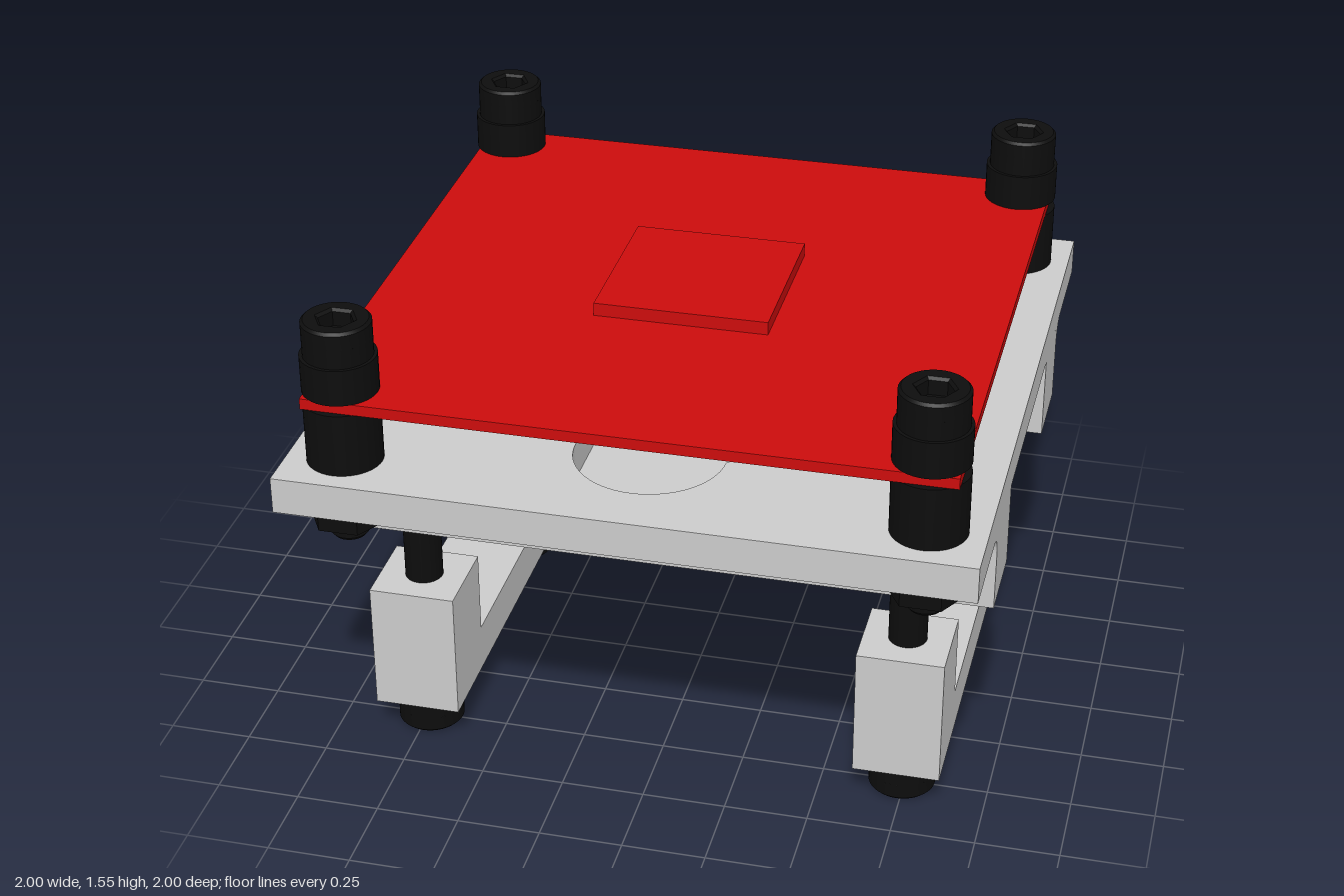
import * as THREE from 'three';
import { toCreasedNormals } from 'three/addons/utils/BufferGeometryUtils.js';

const grey = new THREE.MeshStandardMaterial({ color: 0xcccccc });
const red = new THREE.MeshStandardMaterial({ color: 0xcc0c0c });
const black = new THREE.MeshStandardMaterial({ color: 0x0d0d0d });

const BOLT_X = 0.74, BOLT_Z = 0.5, CORNER = 0.835;

function add(parent, name, geometry, material, x = 0, y = 0, z = 0) {
  const mesh = new THREE.Mesh(geometry, material);
  mesh.name = name;
  mesh.position.set(x, y, z);
  parent.add(mesh);
  return mesh;
}

// Box between two heights
function slab(parent, name, w, d, y0, y1, material) {
  return add(parent, name, new THREE.BoxGeometry(w, y1 - y0, d), material, 0, (y0 + y1) / 2, 0);
}

// Upright cylinder between two heights
function rod(parent, name, r, y0, y1, sides = 40) {
  return add(parent, name, new THREE.CylinderGeometry(r, r, y1 - y0, sides), black, 0, (y0 + y1) / 2, 0);
}

// Outline in x/z pulled up along y
function extrudeUp(shape, height) {
  const g = new THREE.ExtrudeGeometry(shape, { depth: height, bevelEnabled: false, curveSegments: 20 });
  g.rotateX(-Math.PI / 2);
  return toCreasedNormals(g, 0.6);
}

// Profile in z/y pulled along x, centred
function extrudeAcross(shape, width) {
  const g = new THREE.ExtrudeGeometry(shape, { depth: width, bevelEnabled: false, curveSegments: 14 });
  g.translate(0, 0, -width / 2);
  g.rotateY(Math.PI / 2);
  return toCreasedNormals(g, 0.6);
}

function rectangle(x0, z0, x1, z1) {
  return new THREE.Shape([[x0, z0], [x1, z0], [x1, z1], [x0, z1]].map(p => new THREE.Vector2(...p)));
}

function circle(x, z, r) {
  const p = new THREE.Path();
  p.absarc(x, z, r, 0, Math.PI * 2, true);
  return p;
}

// Round head with a hexagonal socket opening upward
function socketHead(parent, height) {
  const r = 0.1, bevel = 0.008, depth = 0.06;
  const ring = new THREE.Shape();
  ring.absarc(0, 0, r - bevel, 0, Math.PI * 2);
  const hex = [];
  for (let i = 0; i < 6; i++) hex.push(new THREE.Vector2(0.062 * Math.cos(-i * Math.PI / 3), 0.062 * Math.sin(-i * Math.PI / 3)));
  ring.holes.push(new THREE.Path(hex));
  const g = new THREE.ExtrudeGeometry(ring, {
    depth: depth - 2 * bevel, bevelSize: bevel, bevelThickness: bevel, bevelSegments: 1, curveSegments: 20,
  });
  g.rotateX(-Math.PI / 2);
  const head = new THREE.Group();
  head.name = 'socketHead';
  add(head, 'socketRing', toCreasedNormals(g, 0.5), black, 0, height - depth + bevel, 0);
  rod(head, 'headBase', r, 0, height - depth + bevel);
  parent.add(head);
  return head;
}

// Plate with a cross-shaped opening with round ends, and bolt holes
function plateShape() {
  const shape = rectangle(-1, -1, 1, 1);
  const w = 0.22, e = 0.62, cross = new THREE.Path();
  for (let k = 0; k < 4; k++) {
    const a = k * Math.PI / 2, c = Math.round(Math.cos(a)), s = Math.round(Math.sin(a));
    cross[k ? 'lineTo' : 'moveTo'](w * (c + s), w * (s - c));
    cross.absarc(e * c, e * s, w, a - Math.PI / 2, a + Math.PI / 2);
  }
  cross.closePath();
  shape.holes.push(cross);
  for (const x of [-BOLT_X, BOLT_X]) for (const z of [-BOLT_Z, BOLT_Z]) shape.holes.push(circle(x, z, 0.065));
  return shape;
}

export function createModel() {
  const model = new THREE.Group();
  model.name = 'clampMount';

  add(model, 'basePlate', extrudeUp(plateShape(), 0.11), grey, 0, 1.0, 0);

  // Rails under the plate, each with a fillet on its outer side
  const rail = rectangle(-1, 0.375, 1, 0.63);
  rail.holes.push(circle(-BOLT_X, BOLT_Z, 0.065), circle(BOLT_X, BOLT_Z, 0.065));
  const railGeometry = extrudeUp(rail, 0.255);
  const fillet = new THREE.Shape();
  fillet.moveTo(0.63, 1.0);
  fillet.lineTo(0.63, 0.93);
  fillet.absarc(0.7, 0.93, 0.07, Math.PI, Math.PI / 2, true);
  fillet.closePath();
  const filletGeometry = extrudeAcross(fillet, 2);
  for (const turn of [0, Math.PI]) {
    const side = new THREE.Group();
    side.name = 'rail';
    add(side, 'railBar', railGeometry, grey, 0, 0.745, 0);
    add(side, 'railFillet', filletGeometry, grey);
    side.rotation.y = turn;
    model.add(side);
  }

  // U-shaped clamp brackets
  const u = new THREE.Shape([
    [-0.63, 0.115], [0.63, 0.115], [0.63, 0.52], [0.375, 0.52],
    [0.375, 0.26], [-0.375, 0.26], [-0.375, 0.52], [-0.63, 0.52],
  ].map(p => new THREE.Vector2(...p)));
  const bracketGeometry = extrudeAcross(u, 0.26);
  for (const x of [-BOLT_X, BOLT_X]) {
    add(model, 'clampBracket', bracketGeometry, grey, x, 0, 0);
    for (const z of [-BOLT_Z, BOLT_Z]) {
      const bolt = new THREE.Group();
      bolt.name = 'clampBolt';
      const head = socketHead(bolt, 0.115);
      head.rotation.x = Math.PI;
      head.position.y = 0.115;
      rod(bolt, 'clampBoltShank', 0.057, 0.1, 0.98);
      bolt.position.set(x, 0, z);
      model.add(bolt);
    }
  }

  // Board with its central chip
  slab(model, 'board', 1.85, 1.85, 1.302, 1.335, red);
  slab(model, 'chip', 0.52, 0.52, 1.335, 1.375, red);

  // Corner bolts with spacers and hex nuts
  for (const x of [-CORNER, CORNER]) for (const z of [-CORNER, CORNER]) {
    const corner = new THREE.Group();
    corner.name = 'cornerBolt';
    socketHead(corner, 0.11).position.y = 1.445;
    rod(corner, 'upperSpacer', 0.11, 1.335, 1.445);
    rod(corner, 'lowerSpacer', 0.11, 1.11, 1.302);
    rod(corner, 'boltShank', 0.055, 0.87, 1.42);
    const tip = add(corner, 'boltTip', new THREE.CylinderGeometry(0.055, 0.047, 0.01, 40), black, 0, 0.865, 0);
    tip.material = black;
    const nut = rod(corner, 'hexNut', 0.116, 0.915, 1.0, 6);
    nut.geometry = toCreasedNormals(nut.geometry, 0.3);
    nut.rotation.y = Math.PI / 2;
    corner.position.set(x, 0, z);
    model.add(corner);
  }

  return model;
}
